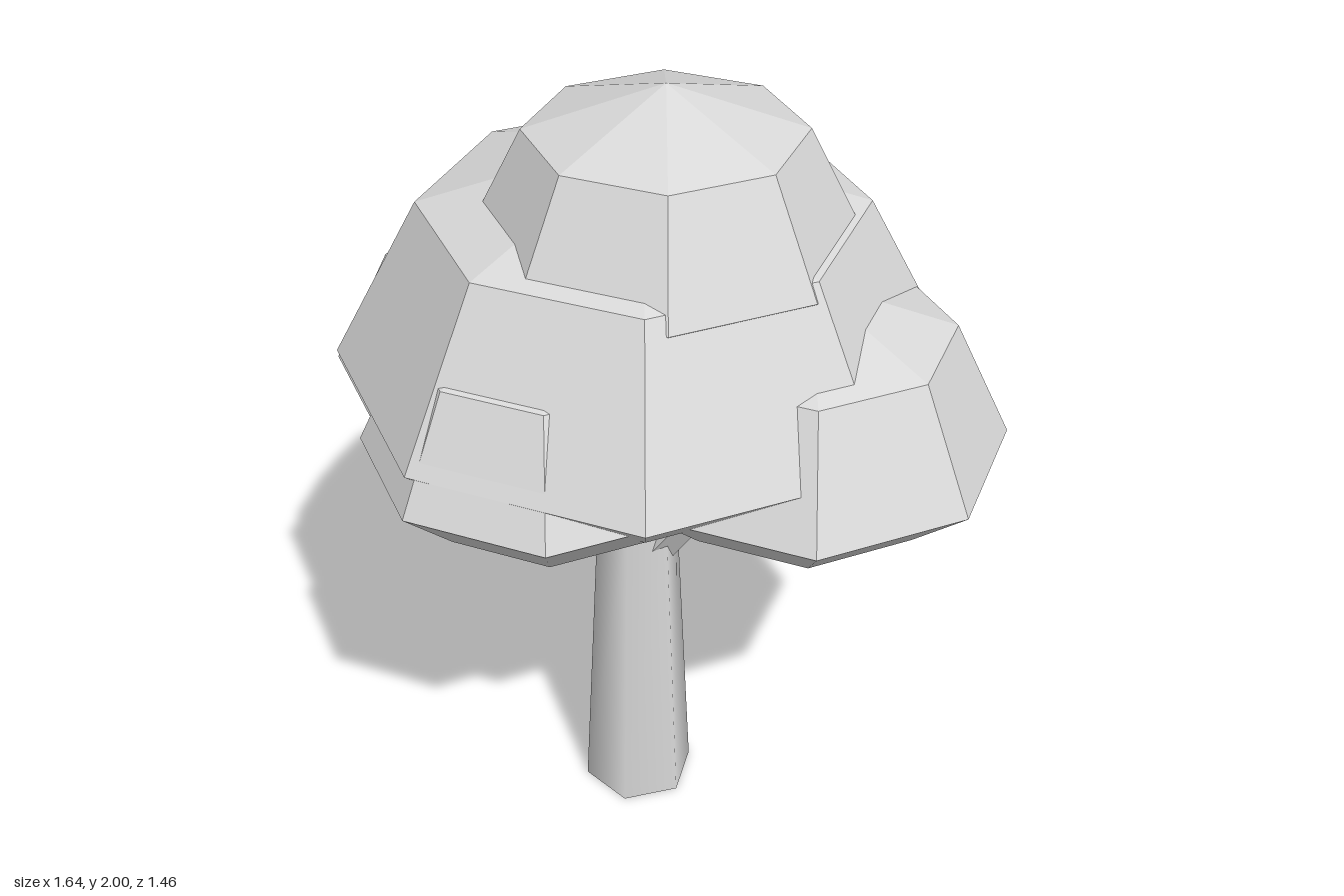
import * as THREE from 'three';

export function createModel() {
  const tree = new THREE.Group();
  tree.name = 'tree';

  const foliage = new THREE.MeshStandardMaterial({
    color: 0xd9d9d9, flatShading: true, side: THREE.DoubleSide });
  foliage.name = 'pale grey faceted';
  const bark = new THREE.MeshStandardMaterial({ color: 0xd9d9d9, side: THREE.DoubleSide });
  bark.name = 'pale grey smooth';

  // Eight-sided domed leaf clump, hollow and open underneath
  function clump(name, x, z, radius, widest, shoulder, bottom) {
    const inner = radius * Math.SQRT1_2;
    const apex = widest + (shoulder - widest) * Math.SQRT2;
    const profile = [
      [inner, bottom], [radius, widest], [inner, shoulder], [0, apex],
    ].map(([r, y]) => new THREE.Vector2(r, y));
    const mesh = new THREE.Mesh(new THREE.LatheGeometry(profile, 8), foliage);
    mesh.name = name;
    mesh.position.set(x, 0, z);
    tree.add(mesh);
  }
  clump('topClump', 0.067, 0.02, 0.427, 1.657, 1.9, 1.545);
  clump('mainClump', -0.018, 0, 0.702, 1.318, 1.695, 1.145);
  clump('rightClump', -0.35, 0.05, 0.47, 1.176, 1.455, 1.045);
  clump('leftClump', 0.35, -0.125, 0.467, 1.208, 1.483, 1.078);
  clump('frontClump', 0.002, 0.305, 0.427, 1.233, 1.495, 1.108);
  clump('backClump', -0.018, -0.31, 0.423, 1.193, 1.45, 1.075);

  // Six-sided tapered trunk, open at both ends
  const trunk = new THREE.Mesh(
    new THREE.CylinderGeometry(0.1, 0.142, 0.852, 6, 1, true, Math.PI / 2), bark);
  trunk.name = 'trunk';
  trunk.position.set(-0.029, 0.426, 0.013);
  tree.add(trunk);

  // Square branches reaching into the side clumps
  function branch(name, from, to, twist) {
    const a = new THREE.Vector3(...from), b = new THREE.Vector3(...to);
    const dir = b.clone().sub(a);
    const mesh = new THREE.Mesh(
      new THREE.CylinderGeometry(0.06, 0.06, dir.length(), 4, 1, false, Math.PI / 4 + twist),
      foliage);
    mesh.name = name;
    mesh.position.copy(a).add(b).multiplyScalar(0.5);
    mesh.quaternion.setFromUnitVectors(new THREE.Vector3(0, 1, 0), dir.normalize());
    tree.add(mesh);
  }
  branch('rightBranch', [-0.05, 0.74, 0.03], [-0.32, 1.16, 0.06], 0.3);
  branch('leftBranch', [0.0, 0.755, 0], [0.26, 1.16, -0.07], -0.3);

  return tree;
}
